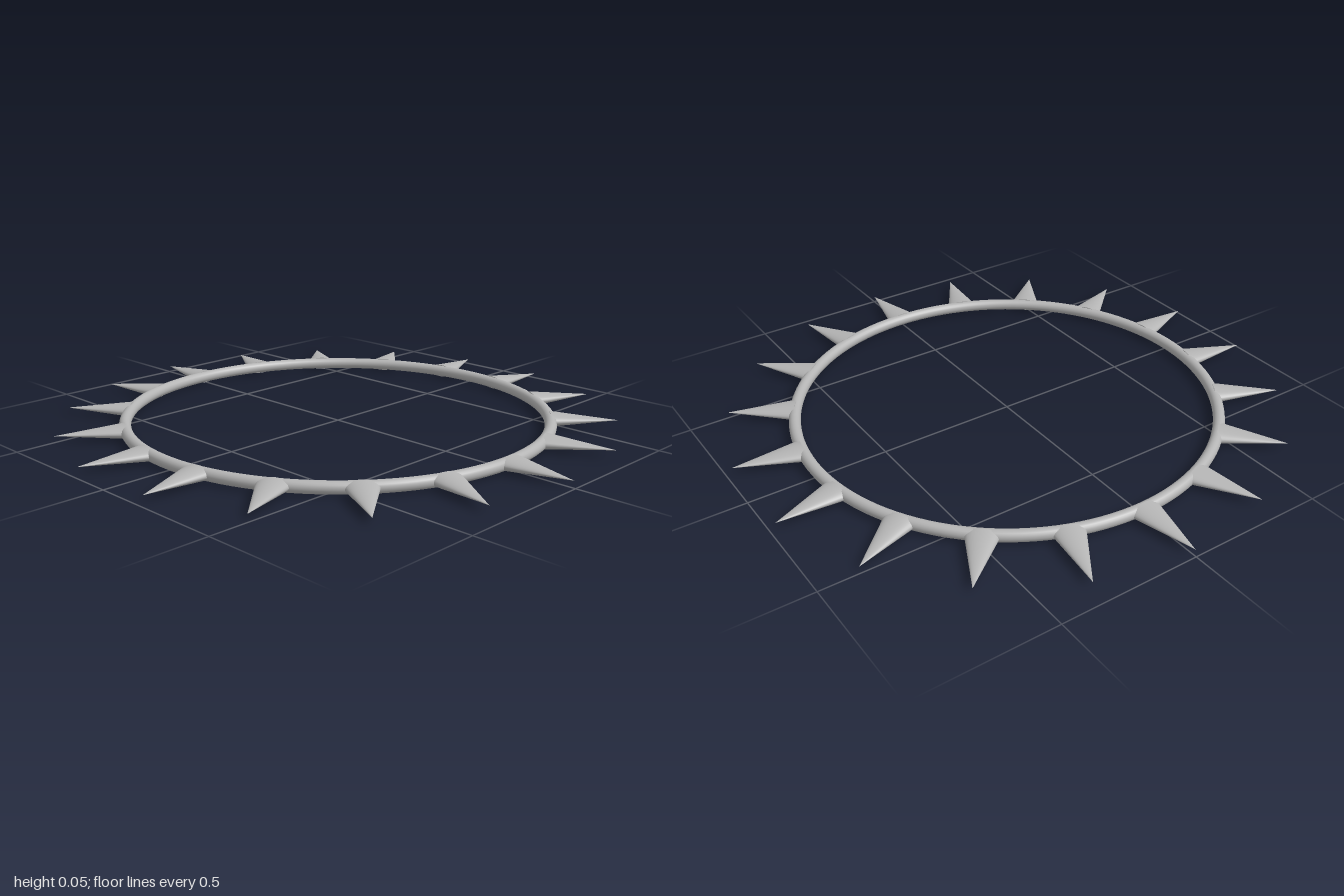
import * as THREE from 'three';

const SPIKES = 18;
const RING_RADIUS = 0.755;
const TUBE = 0.021;
const HALF_WIDTH = 0.057;  // spike base, along the ring
const HALF_HEIGHT = 0.024; // spike base, vertical
const TIP_RADIUS = 0.995;

export function createModel() {
  const model = new THREE.Group();
  model.name = 'spikedRing';
  const metal = new THREE.MeshStandardMaterial({ color: 0xb4b4b4 });
  metal.name = 'grey metal';

  // Round hoop lying flat
  const hoop = new THREE.Mesh(new THREE.TorusGeometry(RING_RADIUS, TUBE, 20, 128), metal);
  hoop.name = 'hoop';
  hoop.rotation.x = -Math.PI / 2;
  hoop.position.y = HALF_HEIGHT;
  model.add(hoop);

  // Flattened cone pointing outward along +x, base on the hoop's centre line
  const length = TIP_RADIUS - RING_RADIUS;
  const spikeShape = new THREE.ConeGeometry(1, length, 32, 4);
  spikeShape.rotateZ(-Math.PI / 2);
  spikeShape.scale(1, HALF_HEIGHT, HALF_WIDTH);
  spikeShape.translate(RING_RADIUS + length / 2, HALF_HEIGHT, 0);

  // Spikes evenly spaced around the hoop
  const spikes = new THREE.Group();
  spikes.name = 'spikes';
  for (let i = 0; i < SPIKES; i++) {
    const spike = new THREE.Mesh(spikeShape, metal);
    spike.name = 'spike';
    spike.rotation.y = (i / SPIKES) * Math.PI * 2;
    spikes.add(spike);
  }
  model.add(spikes);
  return model;
}
